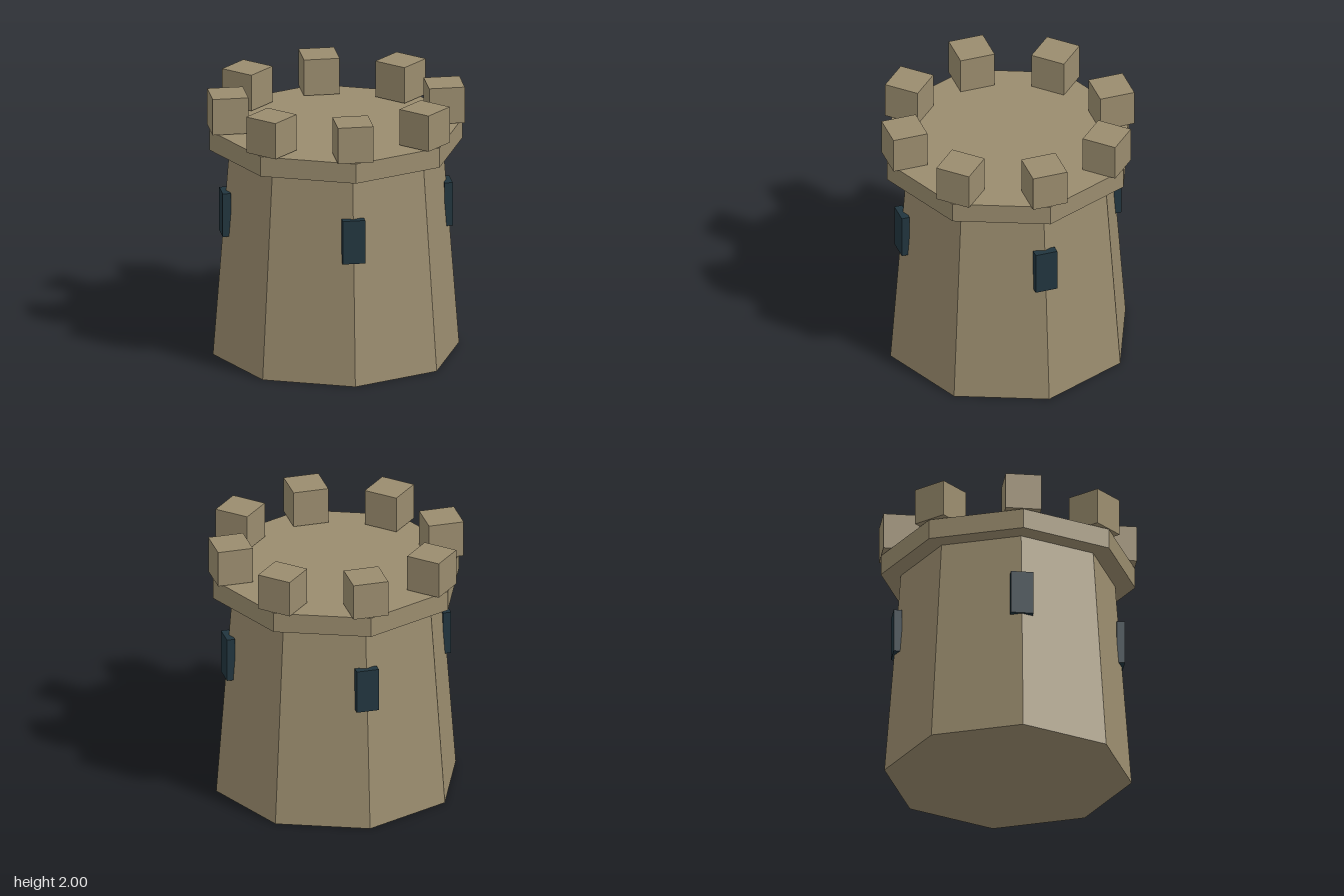
import * as THREE from 'three';

const stone = new THREE.MeshStandardMaterial({ color: 0x9a8c6e, flatShading: true });
stone.name = 'stone';
const darkSlate = new THREE.MeshStandardMaterial({ color: 0x21353e, flatShading: true });
darkSlate.name = 'darkSlate';

export function createModel() {
  const group = new THREE.Group();
  group.name = 'tower';

  const add = (name, geometry, material) => {
    const mesh = new THREE.Mesh(geometry, material);
    mesh.name = name;
    group.add(mesh);
    return mesh;
  };

  // Octagonal ring section between two heights
  const section = (name, rTop, rBottom, y0, y1) => {
    add(name, new THREE.CylinderGeometry(rTop, rBottom, y1 - y0, 8), stone).position.y = (y0 + y1) / 2;
  };
  section('towerBody', 0.787, 0.908, 0, 1.572);
  section('parapet', 0.934, 0.934, 1.57, 1.72);

  // Box placed around the axis, facing outward
  const addAround = (name, geometry, material, angle, radius, y) => {
    const mesh = add(name, geometry, material);
    mesh.position.set(Math.sin(angle) * radius, y, Math.cos(angle) * radius);
    mesh.rotation.y = angle;
  };

  // Eight battlement blocks
  const merlon = new THREE.BoxGeometry(0.263, 0.274, 0.263);
  for (let i = 0; i < 8; i++) {
    addAround('merlon' + (i + 1), merlon, stone, (i * Math.PI) / 4, 0.799, 1.863);
  }

  // Four window slabs on the corner ridges
  const windowSlab = new THREE.BoxGeometry(0.166, 0.33, 0.06);
  for (let i = 0; i < 4; i++) {
    addAround('window' + (i + 1), windowSlab, darkSlate, (i * Math.PI) / 2, 0.819, 1.09);
  }

  return group;
}
